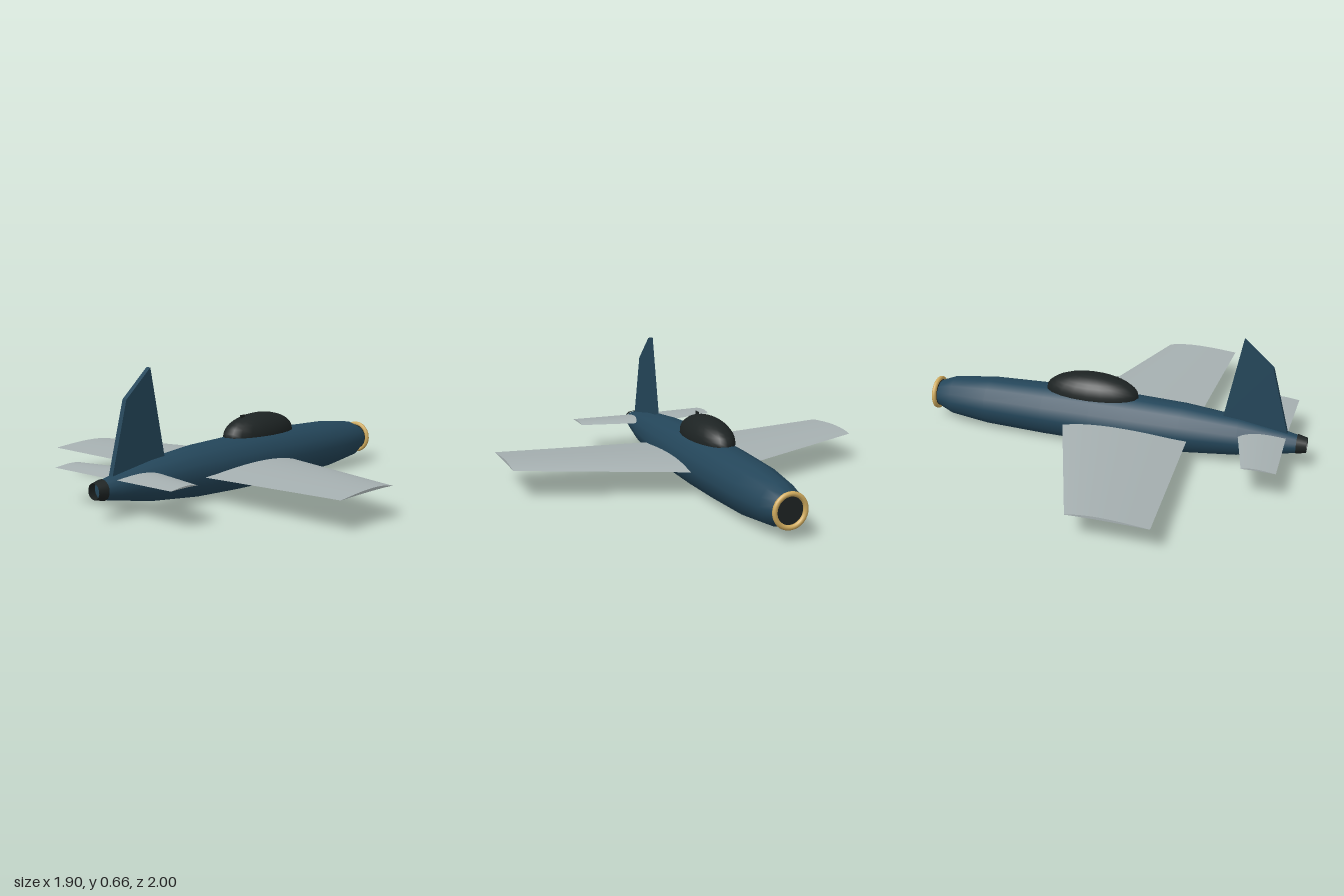
import * as THREE from 'three';

const AXIS_Y = 0.137;
const paint = (color, side = THREE.FrontSide) => new THREE.MeshStandardMaterial({ color, side });
const blue = paint(0x24465a);
const dark = paint(0x1d2323, THREE.DoubleSide);
const gold = paint(0xd0ab5e);
const silver = paint(0xa6b0b1);

function add(parent, name, geometry, material, x = 0, y = 0, z = 0) {
  const mesh = new THREE.Mesh(geometry, material);
  mesh.name = name;
  mesh.position.set(x, y, z);
  parent.add(mesh);
  return mesh;
}

// Body of revolution along z from [radius, z] pairs
function spindle(profile, sides) {
  const points = profile.map(([r, z]) => new THREE.Vector2(r, z));
  return new THREE.LatheGeometry(points, sides, Math.PI / 2)
    .rotateX(Math.PI / 2)
    .scale(1, 0.97, 1);
}

// Tapered, cambered panel made of an upper skin, a lower skin and a tip;
// root and tip are { x, y, front, back, thick }
function panel(name, root, tip) {
  const group = new THREE.Group();
  group.name = name;
  const skins = {
    upper: new THREE.PlaneGeometry(1, 1, 1, 12).rotateX(-Math.PI / 2),
    lower: new THREE.PlaneGeometry(1, 1, 1, 12).rotateX(Math.PI / 2),
    tip: new THREE.PlaneGeometry(1, 1, 12, 1).rotateY(Math.PI / 2),
  };
  for (const [skin, geometry] of Object.entries(skins)) {
    const pos = geometry.attributes.position;
    for (let i = 0; i < pos.count; i++) {
      const s = skin === 'tip' ? 1 : pos.getX(i) + 0.5;
      const u = pos.getZ(i) + 0.5;
      const top = skin === 'upper' || (skin === 'tip' && pos.getY(i) > 0);
      const mix = (key) => THREE.MathUtils.lerp(root[key], tip[key], s);
      const bulge = Math.sin(Math.PI * Math.min(1, u ** 0.75)) * mix('thick');
      pos.setXYZ(i, mix('x'), mix('y') + bulge * (top ? 1 : 0.2),
        THREE.MathUtils.lerp(mix('front'), mix('back'), u));
    }
    geometry.computeVertexNormals();
    add(group, `${name}${skin[0].toUpperCase()}${skin.slice(1)}`, geometry, silver);
  }
  return group;
}

function addPair(parent, name, root, tip) {
  for (const side of [1, -1]) {
    const half = panel(`${side > 0 ? 'left' : 'right'}${name}`, root, tip);
    half.scale.x = side;
    parent.add(half);
  }
}

export function createModel() {
  const plane = new THREE.Group();
  plane.name = 'jetPlane';

  // Fuselage, nose towards -z
  add(plane, 'fuselage', spindle([
    [0.07, -0.975], [0.105, -0.89], [0.13, -0.68], [0.14, -0.36], [0.143, -0.1],
    [0.141, 0.08], [0.131, 0.37], [0.102, 0.66], [0.062, 0.88], [0.046, 0.955],
  ], 14), blue, 0, AXIS_Y, 0);
  add(plane, 'tailCap', new THREE.CircleGeometry(0.046, 14), blue, 0, AXIS_Y, 0.955);

  // Nose intake with its rim
  add(plane, 'intake', new THREE.CircleGeometry(0.073, 24).rotateY(Math.PI), dark, 0, AXIS_Y, -0.978);
  add(plane, 'intakeRim', new THREE.TorusGeometry(0.076, 0.012, 10, 32), gold, 0, AXIS_Y, -0.988);

  // Exhaust nozzle
  const nozzle = new THREE.CylinderGeometry(0.038, 0.05, 0.05, 14, 1, true).rotateX(Math.PI / 2);
  add(plane, 'exhaust', nozzle, dark, 0, AXIS_Y, 0.975);

  // Canopy
  const dome = new THREE.SphereGeometry(1, 20, 8, 0, Math.PI * 2, 0, Math.PI / 2);
  add(plane, 'canopy', dome.scale(0.108, 0.107, 0.248), dark, 0, 0.267, -0.113);

  // Wings and tailplane
  addPair(plane, 'Wing',
    { x: 0.06, y: 0.126, front: -0.262, back: 0.415, thick: 0.028 },
    { x: 0.95, y: 0.15, front: 0.065, back: 0.456, thick: 0.016 });
  addPair(plane, 'Tailplane',
    { x: 0.02, y: 0.178, front: 0.652, back: 0.898, thick: 0.015 },
    { x: 0.39, y: 0.18, front: 0.74, back: 0.905, thick: 0.01 });

  // Fin, drawn as (-z, y) and turned to stand along the body
  const outline = new THREE.Shape([
    [-0.9, 0.16], [-0.57, 0.2], [-0.577, 0.24], [-0.66, 0.665], [-0.81, 0.53], [-0.9, 0.19],
  ].map(([x, y]) => new THREE.Vector2(x, y)));
  const fin = new THREE.ExtrudeGeometry(outline, { depth: 0.026, bevelEnabled: false })
    .translate(0, 0, -0.013)
    .rotateY(Math.PI / 2);
  add(plane, 'fin', fin, blue);

  // Small aerial on the canopy
  add(plane, 'aerial', new THREE.BoxGeometry(0.006, 0.03, 0.03), dark, 0, 0.358, 0.01);

  return plane;
}
